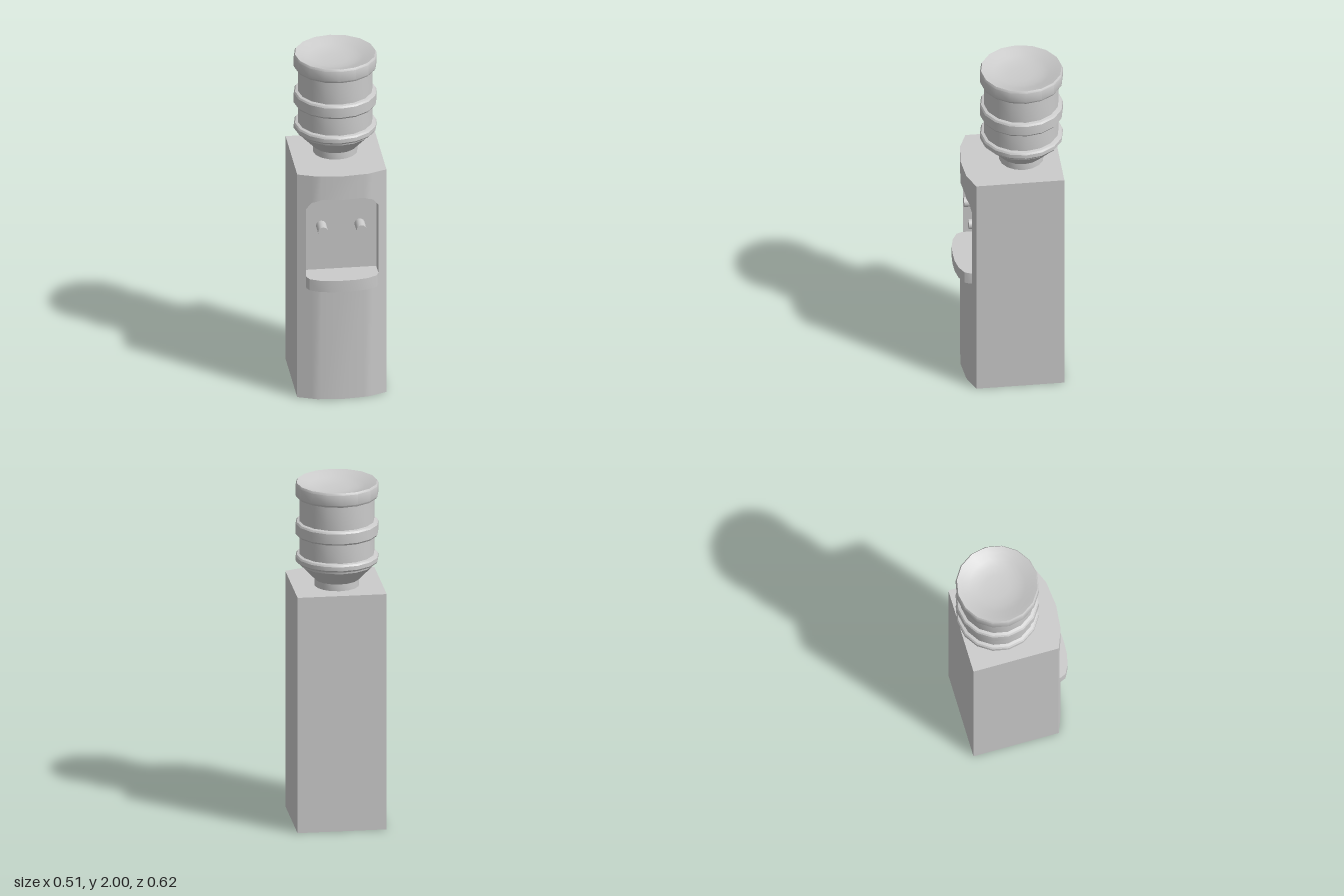
import * as THREE from 'three';
import { toCreasedNormals } from 'three/addons/utils/BufferGeometryUtils.js';

const material = new THREE.MeshStandardMaterial({ color: 0xcccccc });
const CREASE = THREE.MathUtils.degToRad(30);

// Main dimensions
const HALF_W = 0.253, HEIGHT = 1.39, BACK_Z = -0.29;
const NICHE_W = 0.205, NICHE_BOTTOM = 0.69, NICHE_BACK = 0.145;

function addMesh(parent, name, geometry) {
  const mesh = new THREE.Mesh(toCreasedNormals(geometry, CREASE), material);
  mesh.name = name;
  parent.add(mesh);
  return mesh;
}

// Piecewise-linear lookup on |x|
function lookup(points, x) {
  const a = Math.abs(x);
  for (let i = 1; i < points.length; i++) {
    const [x0, y0] = points[i - 1], [x1, y1] = points[i];
    if (a <= x1) return y0 + (y1 - y0) * (a - x0) / (x1 - x0);
  }
  return points[points.length - 1][1];
}
const frontZ = x => lookup([[0, 0.267], [0.145, 0.252], [HALF_W, 0.209]], x);
const archY = x => lookup([[0, 1.243], [0.12, 1.243], [0.175, 1.222], [NICHE_W, 1.18]], x);

// Cabinet: bowed front with an arched niche, built in vertical columns
function cabinetGeometry() {
  const positions = [];
  const quad = (a, b, c, d) => positions.push(...a, ...b, ...c, ...a, ...c, ...d);

  const half = [0.12, 0.145, 0.175, NICHE_W, HALF_W];
  const xs = [...half.map(x => -x).reverse(), 0, ...half];

  for (let i = 0; i < xs.length - 1; i++) {
    const l = xs[i], r = xs[i + 1];
    const zl = frontZ(l), zr = frontZ(r), yl = archY(l), yr = archY(r);
    const front = (b0, b1, t0, t1) =>
      quad([l, b0, zl], [r, b1, zr], [r, t1, zr], [l, t0, zl]);

    // Front skin below and above the niche
    front(0, 0, NICHE_BOTTOM, NICHE_BOTTOM);
    front(yl, yr, HEIGHT, HEIGHT);

    if (Math.abs(l + r) / 2 > NICHE_W) {
      front(NICHE_BOTTOM, NICHE_BOTTOM, yl, yr);
    } else {
      // Niche back, ceiling and floor
      const k = NICHE_BACK, f = NICHE_BOTTOM;
      quad([l, f, k], [r, f, k], [r, yr, k], [l, yl, k]);
      quad([l, yl, k], [r, yr, k], [r, yr, zr], [l, yl, zl]);
      quad([l, f, zl], [r, f, zr], [r, f, k], [l, f, k]);
    }

    // Cabinet top, bottom and back
    quad([l, HEIGHT, zl], [r, HEIGHT, zr], [r, HEIGHT, BACK_Z], [l, HEIGHT, BACK_Z]);
    quad([l, 0, BACK_Z], [r, 0, BACK_Z], [r, 0, zr], [l, 0, zl]);
    quad([r, 0, BACK_Z], [l, 0, BACK_Z], [l, HEIGHT, BACK_Z], [r, HEIGHT, BACK_Z]);
  }

  // A wall in the yz plane, facing +x or -x
  const wall = (x, y0, y1, z0, z1, facing) => {
    const c = [[x, y0, z1], [x, y0, z0], [x, y1, z0], [x, y1, z1]];
    quad(...(facing > 0 ? c : c.reverse()));
  };
  for (const s of [-1, 1]) {
    wall(s * HALF_W, 0, HEIGHT, BACK_Z, frontZ(HALF_W), s);
    wall(s * NICHE_W, NICHE_BOTTOM, archY(NICHE_W), NICHE_BACK, frontZ(NICHE_W), -s);
  }

  const geometry = new THREE.BufferGeometry();
  geometry.setAttribute('position', new THREE.Float32BufferAttribute(positions, 3));
  geometry.computeVertexNormals();
  return geometry;
}

// Drip tray: bowed slab standing on the niche floor
function trayGeometry() {
  const bow = [[0.204, 0.235], [0.19, 0.267], [0.137, 0.295], [0.07, 0.309]];
  const outline = [
    [0.204, NICHE_BACK], ...bow, [0, 0.312],
    ...bow.map(([x, z]) => [-x, z]).reverse(), [-0.204, NICHE_BACK],
  ];
  const shape = new THREE.Shape(outline.map(([x, z]) => new THREE.Vector2(x, -z)));
  const geometry = new THREE.ExtrudeGeometry(shape, { depth: 0.07, bevelEnabled: false });
  geometry.rotateX(-Math.PI / 2);
  geometry.translate(0, NICHE_BOTTOM, 0);
  return geometry;
}

// Bottle: neck, cone, ribbed cylinder and dished end
function bottleGeometry() {
  const band = (y0, y1) => [
    [0.212, y0 - 0.004], [0.228, y0], [0.235, y0 + 0.01],
    [0.235, y1 - 0.01], [0.228, y1], [0.212, y1 + 0.004],
  ];
  const profile = [
    [0.126, HEIGHT], [0.126, 1.43], [0.21, 1.517],
    ...band(1.533, 1.576),
    ...band(1.692, 1.77),
    [0.212, 1.911], [0.228, 1.916], [0.235, 1.928], [0.235, 1.988], [0.228, 2],
    [0.2, 1.991], [0.16, 1.976], [0.12, 1.965], [0.07, 1.96], [0, 1.959],
  ];
  return new THREE.LatheGeometry(profile.map(([r, y]) => new THREE.Vector2(r, y)), 16);
}

export function createModel() {
  const model = new THREE.Group();
  model.name = 'waterDispenser';

  addMesh(model, 'cabinet', cabinetGeometry());
  addMesh(model, 'dripTray', trayGeometry());
  addMesh(model, 'waterBottle', bottleGeometry()).position.z = -0.077;

  // Pair of taps on the niche back
  const tapLength = 0.236 - NICHE_BACK;
  for (const [name, side] of [['leftTap', 1], ['rightTap', -1]]) {
    const geometry = new THREE.CylinderGeometry(0.029, 0.029, tapLength, 16);
    geometry.rotateX(Math.PI / 2);
    addMesh(model, name, geometry).position.set(side * 0.109, 1.033, NICHE_BACK + tapLength / 2);
  }

  return model;
}
